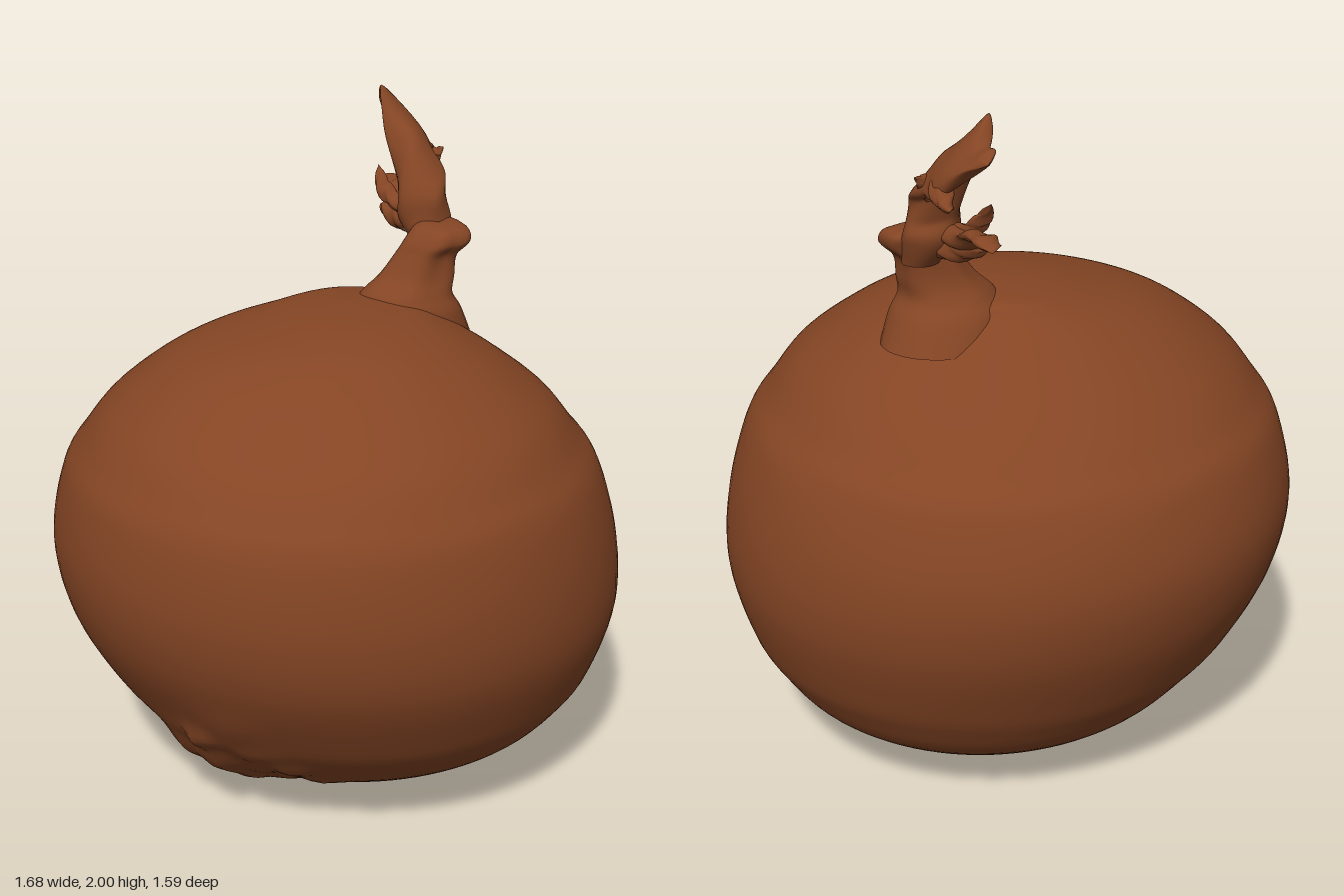
import * as THREE from 'three';

const skin = new THREE.MeshStandardMaterial({ color: 0x844524 });
skin.name = 'brown onion skin';

// Catmull-Rom interpolation of whole rows of numbers
function sampleRows(rows, t) {
  const f = t * (rows.length - 1);
  const i = Math.min(Math.floor(f), rows.length - 2);
  const u = f - i;
  const at = (k) => rows[Math.max(0, Math.min(rows.length - 1, k))];
  return rows[i].map((_, c) => {
    const [a, b, d, e] = [at(i - 1)[c], at(i)[c], at(i + 1)[c], at(i + 2)[c]];
    return b + 0.5 * u * (d - a + u * (2 * a - 5 * b + 4 * d - e + u * (3 * (b - d) + e - a)));
  });
}

// Closed loft of elliptical sections: [x, y, z, radiusX, radiusZ, tilt, roll]
function loft(name, rows, { sides = 20, steps = 6, warp } = {}) {
  const rings = (rows.length - 1) * steps;
  const pos = [], index = [], euler = new THREE.Euler(), p = new THREE.Vector3();
  for (let i = 0; i <= rings; i++) {
    const [x, y, z, rx, rz, tilt = 0, roll = 0] = sampleRows(rows, i / rings);
    euler.set(tilt, 0, roll, 'ZXY');
    for (let j = 0; j < sides; j++) {
      const a = (j / sides) * Math.PI * 2;
      p.set(Math.cos(a) * Math.max(rx, 0.0005), 0, Math.sin(a) * Math.max(rz, 0.0005)).applyEuler(euler);
      p.add(new THREE.Vector3(x, y, z));
      if (warp) warp(p, a, i / rings);
      pos.push(p.x, p.y, p.z);
      if (i < rings) {
        const k = (j + 1) % sides, o = i * sides, n = o + sides;
        index.push(o + j, n + j, o + k, n + j, n + k, o + k);
      }
    }
  }
  const g = new THREE.BufferGeometry();
  g.setAttribute('position', new THREE.Float32BufferAttribute(pos, 3));
  g.setIndex(index);
  g.computeVertexNormals();
  const mesh = new THREE.Mesh(g, skin);
  mesh.name = name;
  return mesh;
}

// Bulb extents at each height: [y, xMin, xMax, zMin, zMax]
const bulbExtents = [
  [0.003, 0.08, 0.081, -0.07, -0.069],
  [0.006, -0.13, 0.31, -0.24, 0.11],
  [0.05, -0.30, 0.42, -0.34, 0.26],
  [0.1, -0.40, 0.52, -0.43, 0.36],
  [0.2, -0.52, 0.65, -0.56, 0.50],
  [0.3, -0.62, 0.73, -0.635, 0.60],
  [0.4, -0.705, 0.785, -0.69, 0.67],
  [0.6, -0.805, 0.835, -0.77, 0.77],
  [0.8, -0.84, 0.82, -0.79, 0.80],
  [1.0, -0.80, 0.76, -0.73, 0.77],
  [1.1, -0.74, 0.69, -0.65, 0.715],
  [1.2, -0.66, 0.61, -0.55, 0.63],
  [1.3, -0.53, 0.48, -0.43, 0.49],
  [1.36, -0.41, 0.38, -0.355, 0.38],
  [1.4, -0.28, 0.30, -0.30, 0.28],
  [1.435, -0.13, 0.21, -0.25, 0.13],
  [1.45, 0.02, 0.06, -0.09, -0.04],
  [1.451, 0.04, 0.041, -0.065, -0.064],
];

// Dried root scar: soft lumps and a ridge on the lower front right
const lumps = [
  [-0.37, 0.2, 0.38, 0.1, 0.055],
  [-0.24, 0.07, 0.27, 0.07, 0.035],
  [-0.1, 0.02, 0.12, 0.06, 0.012],
  [-0.38, 0.35, 0.52, 0.035, 0.025],
  [-0.29, 0.45, 0.6, 0.06, 0.014],
  [-0.22, 0.33, 0.55, 0.04, 0.016],
  [-0.14, 0.25, 0.52, 0.04, 0.016],
  [-0.04, 0.17, 0.46, 0.04, 0.014],
];
function scar(p) {
  let push = 0;
  for (const [x, y, z, s, h] of lumps) {
    const d = (p.x - x) ** 2 + (p.y - y) ** 2 + (p.z - z) ** 2;
    push += h * Math.exp(-d / (2 * s * s));
  }
  push *= 1 + 0.2 * Math.sin(p.x * 60 + p.y * 35);
  const out = new THREE.Vector3(p.x, (p.y - 0.7) * 0.5, p.z).normalize();
  p.addScaledVector(out, push);
  p.y = Math.max(p.y, 0);
}

// Ragged ripple for the withered leaves
const ragged = (amount) => (p, a, t) => {
  const r = amount * Math.sin(Math.PI * t);
  p.x += r * Math.sin(3 * a + t * 17);
  p.y += r * Math.sin(2 * a + t * 23 + 1);
  p.z += r * 0.6 * Math.cos(3 * a - t * 13);
};

export function createModel() {
  const onion = new THREE.Group();
  onion.name = 'onion';

  const bulbRows = bulbExtents.map(([y, x0, x1, z0, z1]) =>
    [(x0 + x1) / 2, y, (z0 + z1) / 2, (x1 - x0) / 2, (z1 - z0) / 2]);
  onion.add(loft('bulb', bulbRows, { sides: 96, steps: 6, warp: scar }));

  // Flared neck with a folded lip
  onion.add(loft('neck', [
    [0.22, 1.32, -0.2, 0.17, 0.15],
    [0.2, 1.40, -0.175, 0.16, 0.135],
    [0.2, 1.45, -0.165, 0.132, 0.108],
    [0.228, 1.5, -0.172, 0.107, 0.083],
    [0.253, 1.56, -0.178, 0.088, 0.075],
    [0.285, 1.6, -0.18, 0.094, 0.078],
    [0.295, 1.635, -0.195, 0.078, 0.072],
    [0.29, 1.65, -0.21, 0.04, 0.04],
    [0.29, 1.645, -0.21, 0, 0],
  ], { sides: 32, warp: (p, a, t) => {
    const r = 0.006 * Math.sin(Math.PI * t);
    p.x += r * Math.cos(a) * Math.sin(5 * a);
    p.z += r * Math.sin(a) * Math.sin(5 * a);
  } }));

  // Main withered leaf, arching backwards with one edge raised
  onion.add(loft('mainLeaf', [
    [0.28, 1.56, -0.23, 0.05, 0.05, 0, 0],
    [0.255, 1.64, -0.26, 0.075, 0.065, 0, 0],
    [0.245, 1.71, -0.26, 0.075, 0.058, -0.2, -0.1],
    [0.235, 1.79, -0.3, 0.08, 0.045, -0.7, -0.4],
    [0.21, 1.86, -0.36, 0.105, 0.035, -1.2, -0.75],
    [0.2, 1.89, -0.42, 0.135, 0.026, -1.5, -0.9],
    [0.19, 1.89, -0.48, 0.07, 0.022, -1.57, -0.8],
    [0.165, 1.91, -0.53, 0.04, 0.016, -1.57, -0.6],
    [0.155, 1.91, -0.56, 0, 0, -1.57, -0.6],
  ], { sides: 28, warp: ragged(0.007) }));

  // Smaller dried shreds: name, sections
  const shreds = [
    ['droopingTip', [
      [0.25, 1.82, -0.36, 0.03, 0.02, -1.5, -0.5],
      [0.255, 1.82, -0.43, 0.03, 0.016, -1.6, -0.4],
      [0.25, 1.795, -0.49, 0.022, 0.018, -1.8, 0],
      [0.245, 1.785, -0.525, 0, 0, -1.8, 0],
    ]],
    ['lowerShred', [
      [0.23, 1.66, -0.27, 0.03, 0.03, -1.4, 0],
      [0.185, 1.655, -0.36, 0.035, 0.025, -1.57, 0.2],
      [0.16, 1.69, -0.44, 0.04, 0.016, -1.57, 0.2],
      [0.15, 1.695, -0.52, 0.035, 0.014, -1.57, 0.1],
      [0.145, 1.685, -0.565, 0, 0, -1.57, 0],
    ]],
    ['curledShred', [
      [0.21, 1.66, -0.28, 0.025, 0.02, -0.9, 0.4],
      [0.16, 1.68, -0.34, 0.025, 0.014, -0.9, 0.4],
      [0.13, 1.72, -0.37, 0.022, 0.01, -0.9, 0.3],
      [0.12, 1.765, -0.41, 0, 0, -0.9, 0.2],
    ]],
    ['shortShred', [
      [0.23, 1.62, -0.27, 0.04, 0.04, -1, 0.3],
      [0.19, 1.62, -0.33, 0.035, 0.03, -1.3, 0.3],
      [0.15, 1.64, -0.38, 0.025, 0.02, -1.3, 0.3],
      [0.13, 1.65, -0.4, 0, 0, -1.3, 0.3],
    ]],
    ['sideSpike', [
      [0.25, 1.77, -0.32, 0.03, 0.03, 0, -0.6],
      [0.285, 1.815, -0.34, 0.018, 0.018, 0, -0.8],
      [0.31, 1.83, -0.36, 0, 0, 0, -0.9],
    ]],
  ];
  for (const [name, rows] of shreds) {
    onion.add(loft(name, rows, { sides: 14, warp: ragged(0.004) }));
  }

  return onion;
}
